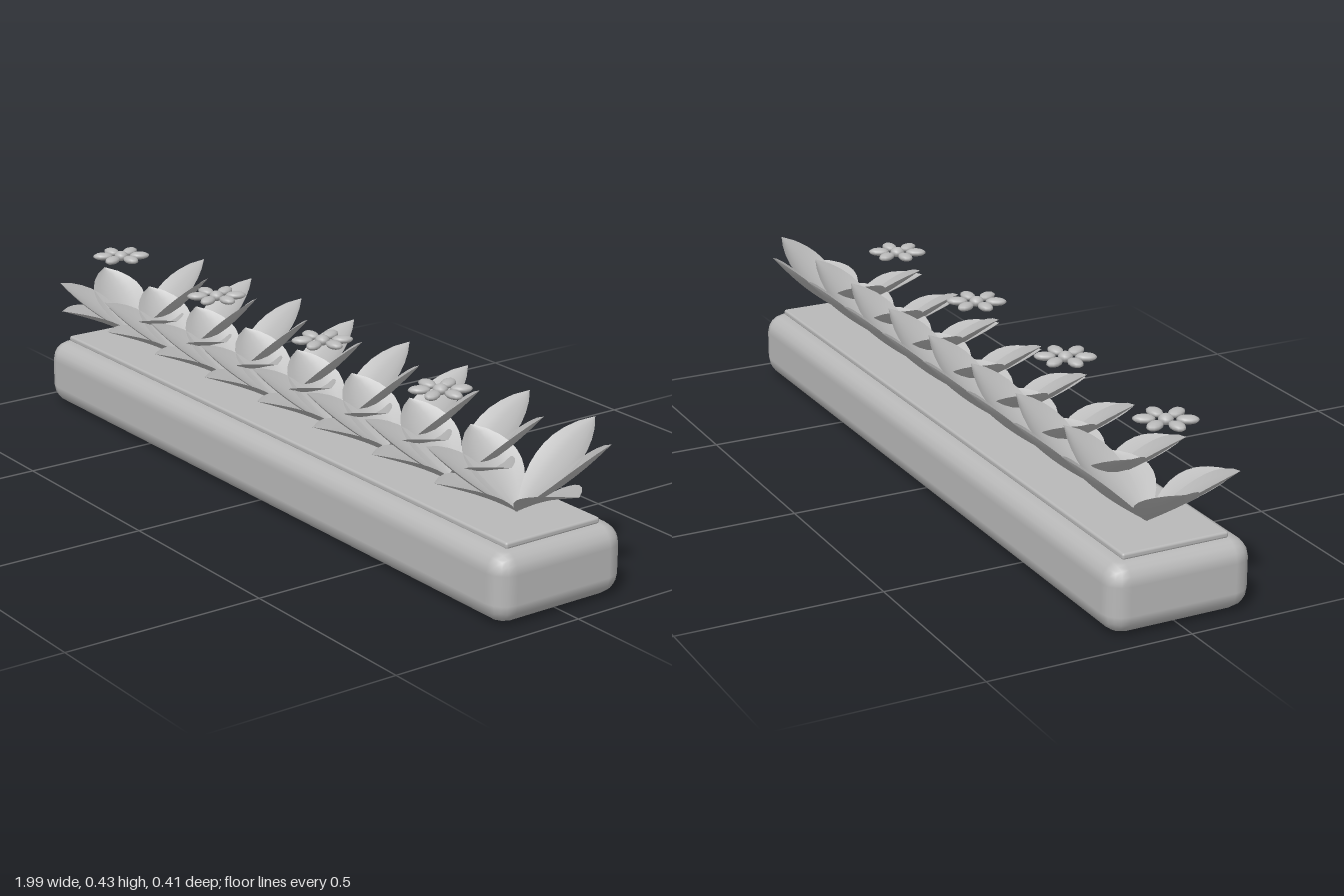
import * as THREE from 'three';
import { RoundedBoxGeometry } from 'three/addons/geometries/RoundedBoxGeometry.js';

const grey = new THREE.MeshStandardMaterial({ color: 0xb8b8b8, side: THREE.DoubleSide });
grey.name = 'stone grey';

function part(name, geometry, parent, x = 0, y = 0, z = 0) {
  const mesh = new THREE.Mesh(geometry, grey);
  mesh.name = name;
  mesh.position.set(x, y, z);
  parent.add(mesh);
  return mesh;
}

// Pointed, cupped leaf growing from the origin towards +z
function leafGeometry(reach, rise, bow) {
  const rows = 10, cols = 6;
  const widths = [0.005, 0.022, 0.04, 0.054, 0.064, 0.069, 0.069, 0.063, 0.05, 0.03, 0];
  const slope = Math.atan2(rise, reach);
  const g = new THREE.PlaneGeometry(1, 1, cols, rows);
  const p = g.attributes.position;
  for (let i = 0; i < p.count; i++) {
    const t = 0.5 - p.getY(i);
    const s = p.getX(i) * 2;
    const w = widths[Math.round(t * rows)];
    const lift = bow * Math.sin(Math.PI * t) + s * s * w * 0.28;
    p.setXYZ(i, s * w, t * rise + lift * Math.cos(slope), t * reach - lift * Math.sin(slope));
  }
  g.computeVertexNormals();
  return g;
}

const tall = leafGeometry(0.21, 0.185, -0.012);
const middle = leafGeometry(0.205, 0.142, -0.004);
const low = leafGeometry(0.205, 0.096, 0.008);

// Leaf kinds with their heading in degrees, from the front towards +x
const leaves = [
  [tall, 176], [tall, 123], [low, 90], [low, -13], [middle, -44], [middle, -98],
];

function createPlant() {
  const plant = new THREE.Group();
  plant.name = 'plant';
  for (const [geometry, degrees] of leaves) {
    part('leaf', geometry, plant).rotation.y = THREE.MathUtils.degToRad(degrees);
  }
  return plant;
}

// Six flat petals around a round middle
const petalGeometry = new THREE.SphereGeometry(1, 10, 8).scale(0.026, 0.01, 0.017);
const heartGeometry = new THREE.SphereGeometry(1, 10, 8).scale(0.018, 0.013, 0.018);

function createFlower() {
  const flower = new THREE.Group();
  flower.name = 'flower';
  part('flowerMiddle', heartGeometry, flower);
  for (let i = 0; i < 6; i++) {
    const a = (i * Math.PI) / 3;
    part('petal', petalGeometry, flower, Math.cos(a) * 0.048, 0, Math.sin(a) * 0.048).rotation.y = -a;
  }
  return flower;
}

export function createModel() {
  const model = new THREE.Group();
  model.name = 'planter';

  // Long rounded trough and the soil slab on top
  part('trough', new RoundedBoxGeometry(1.915, 0.17, 0.364, 2, 0.05), model, -0.002, 0.085, 0.004);
  part('soil', new RoundedBoxGeometry(1.834, 0.016, 0.268, 2, 0.006), model, -0.002, 0.174, 0.004);

  // Row of eight plants, every other one with a flower above it
  for (let i = 0; i < 8; i++) {
    const x = -0.793 + i * 0.226;
    const plant = createPlant();
    plant.position.set(x, 0.186, 0.004);
    model.add(plant);
    if (i % 2 === 0) {
      const flower = createFlower();
      flower.position.set(x, 0.418, 0.046);
      model.add(flower);
    }
  }
  return model;
}
